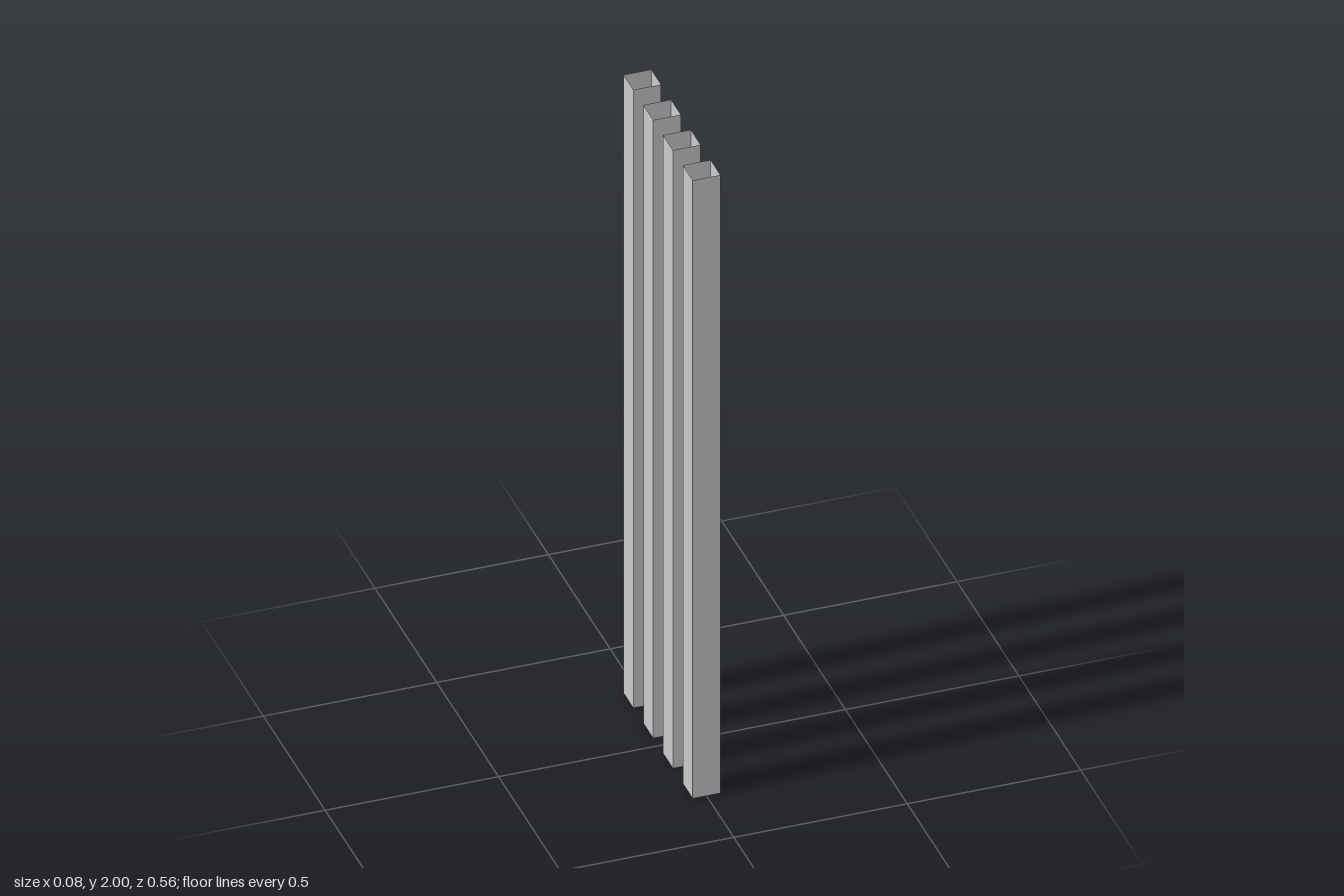
import * as THREE from 'three';

const SIZE = 0.08;    // width and depth of each post
const HEIGHT = 2;
const SPACING = 0.16; // centre to centre along z
const COUNT = 4;

// Thin-walled square post: a box with its top face left out
function openTopPost() {
  const geometry = new THREE.BoxGeometry(SIZE, HEIGHT, SIZE);
  const index = Array.from(geometry.index.array);
  index.splice(12, 6); // the two triangles of the +y face
  geometry.setIndex(index);
  geometry.clearGroups();
  geometry.translate(0, HEIGHT / 2, 0);
  return geometry;
}

export function createModel() {
  const group = new THREE.Group();
  group.name = 'postRow';
  const material = new THREE.MeshStandardMaterial({ color: 0xcccccc, side: THREE.DoubleSide });
  const geometry = openTopPost();

  // Evenly spaced row of posts from back to front
  for (let i = 0; i < COUNT; i++) {
    const post = new THREE.Mesh(geometry, material);
    post.name = `post${i + 1}`;
    post.position.z = (i - (COUNT - 1) / 2) * SPACING;
    group.add(post);
  }
  return group;
}
